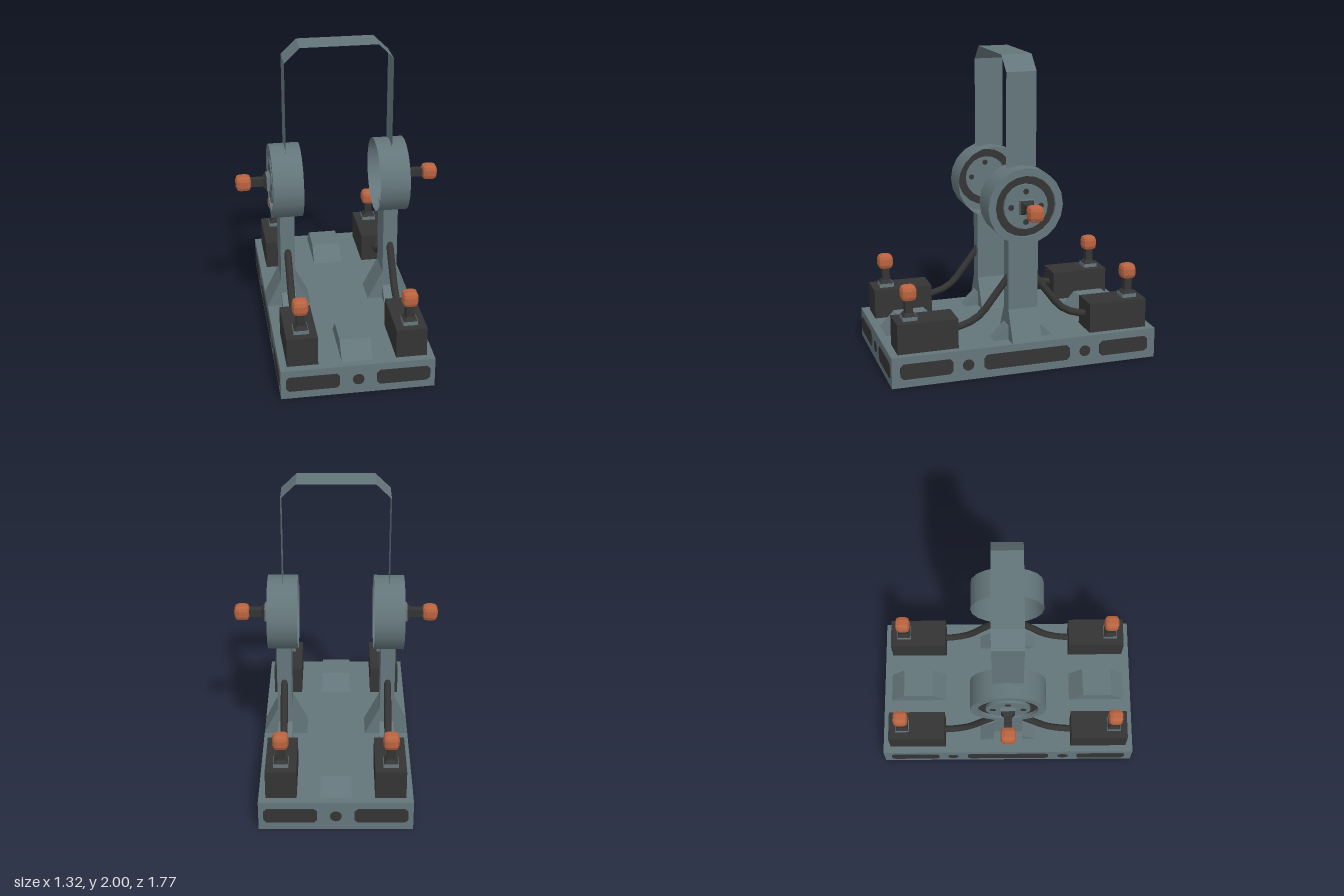
import * as THREE from 'three';
import { RoundedBoxGeometry } from 'three/addons/geometries/RoundedBoxGeometry.js';

const material = (name, color, side = THREE.FrontSide) => {
  const m = new THREE.MeshStandardMaterial({ color, side });
  m.name = name;
  return m;
};

export function createModel() {
  const steel = material('steel grey', 0x64767b, THREE.DoubleSide);
  const dark = material('charcoal', 0x343434, THREE.DoubleSide);
  const orange = material('copper orange', 0xb8633f);

  const add = (parent, name, geometry, mat, x = 0, y = 0, z = 0) => {
    const mesh = new THREE.Mesh(geometry, mat);
    mesh.name = name;
    mesh.position.set(x, y, z);
    parent.add(mesh);
    return mesh;
  };
  const box = (w, h, d) => new THREE.BoxGeometry(w, h, d);
  const flat = (geometry) => {
    const g = geometry.index ? geometry.toNonIndexed() : geometry;
    g.computeVertexNormals();
    return g;
  };
  // Extrudes an outline, centred on its depth
  const prism = (points, depth) => {
    const shape = new THREE.Shape(points.map(([x, y]) => new THREE.Vector2(x, y)));
    return new THREE.ExtrudeGeometry(shape, { depth, bevelEnabled: false }).translate(0, 0, -depth / 2);
  };
  // Same, with the outline drawn in z and y
  const sidePrism = (points, depth) => prism(points, depth).rotateY(-Math.PI / 2);

  const model = new THREE.Group();
  model.name = 'controlStand';

  // Base slab
  add(model, 'base', box(0.97, 0.2, 1.76), steel, 0, 0.1, 0);

  // Dark inset plates and round ports on the four faces of the base
  const panel = (w) => {
    const a = w / 2, h = 0.05, c = 0.02;
    return prism([[-a + c, -h], [a - c, -h], [a, -h + c], [a, h - c],
      [a - c, h], [-a + c, h], [-a, h - c], [-a, -h + c]], 0.006);
  };
  const port = () => new THREE.CylinderGeometry(0.037, 0.037, 0.006, 12).rotateX(Math.PI / 2);
  for (let i = 0; i < 4; i++) {
    const face = new THREE.Group();
    face.name = 'basePanels';
    face.rotation.y = i * Math.PI / 2;
    model.add(face);
    const long = i % 2 === 1;
    const z = (long ? 0.485 : 0.88) + 0.002;
    if (long) add(face, 'middlePanel', panel(0.57), dark, 0, 0.103, z);
    else add(face, 'port', port(), dark, 0, 0.1, z);
    for (const s of [-1, 1]) {
      add(face, 'endPanel', panel(0.337), dark, s * (long ? 0.658 : 0.285), 0.103, z);
      if (long) add(face, 'port', port(), dark, s * 0.39, 0.1, z);
    }
  }

  // Raised humps between the boxes
  for (const s of [-1, 1]) {
    add(model, 'hump', sidePrism([[-0.195, 0], [0.195, 0], [0.1, 0.1], [-0.1, 0.1]], 0.195),
      steel, 0, 0.2, s * 0.635);
  }

  // Lever standing along +y: pad, flared foot, stem and chamfered knob
  const lever = () => {
    const g = new THREE.Group();
    g.name = 'lever';
    add(g, 'leverPad', box(0.094, 0.026, 0.094), steel, 0, 0.013, 0);
    const foot = new THREE.CylinderGeometry(0.025 * Math.SQRT2, 0.044 * Math.SQRT2, 0.024, 4).rotateY(Math.PI / 4);
    add(g, 'leverFoot', flat(foot), dark, 0, 0.038, 0);
    add(g, 'leverStem', box(0.05, 0.1, 0.05), dark, 0, 0.09, 0);
    add(g, 'leverKnob', flat(new RoundedBoxGeometry(0.1, 0.1, 0.1, 1, 0.03)), orange, 0, 0.174, 0);
    return g;
  };

  // One side assembly, turned half a revolution for the other
  for (const angle of [0, Math.PI]) {
    const side = new THREE.Group();
    side.name = 'sideAssembly';
    side.rotation.y = angle;
    model.add(side);

    // Post with flared foot
    add(side, 'post', prism([[0.195, 0.2], [0.485, 0.2], [0.39, 0.4], [0.39, 0.86],
      [0.295, 0.86], [0.295, 0.4]], 0.195), steel);

    // Open drum with a dark ring and bolts on its outer face
    const drum = new THREE.Group();
    drum.name = 'drum';
    drum.position.set(0, 1.08, 0);
    side.add(drum);
    const tube = (r, w) => new THREE.CylinderGeometry(r, r, w, 20, 1, true).rotateZ(-Math.PI / 2);
    const ring = (r0, r1) => new THREE.RingGeometry(r0, r1, 20).rotateY(Math.PI / 2);
    add(drum, 'drumWall', tube(0.243, 0.195), steel, 0.3425);
    add(drum, 'drumRim', ring(0.195, 0.243), steel, 0.44);
    add(drum, 'grooveOuterWall', tube(0.195, 0.02), steel, 0.43);
    add(drum, 'grooveInnerWall', tube(0.143, 0.02), steel, 0.43);
    add(drum, 'grooveFloor', ring(0.143, 0.195), dark, 0.42);
    add(drum, 'drumHub', new THREE.CircleGeometry(0.143, 20).rotateY(Math.PI / 2), steel, 0.44);
    for (let i = 0; i < 4; i++) {
      const a = i * Math.PI / 2;
      add(drum, 'bolt', new THREE.CylinderGeometry(0.019, 0.019, 0.006, 8).rotateZ(Math.PI / 2),
        dark, 0.441, 0.097 * Math.cos(a), 0.097 * Math.sin(a));
    }
    const drumLever = lever();
    drumLever.rotation.z = -Math.PI / 2;
    drumLever.position.x = 0.438;
    drum.add(drumLever);

    for (const s of [-1, 1]) {
      // Gusset against the post
      add(side, 'gusset', sidePrism([[s * 0.09, 0.2], [s * 0.195, 0.2], [s * 0.0975, 0.295], [s * 0.09, 0.295]], 0.095),
        steel, 0.3425);
      // Control box and its lever
      add(side, 'controlBox', box(0.195, 0.194, 0.39), dark, 0.3425, 0.297, s * 0.635);
      const boxLever = lever();
      boxLever.position.set(0.3425, 0.392, s * 0.735);
      side.add(boxLever);
      // Hose from the box up to the post
      const path = new THREE.CatmullRomCurve3([[0.3, 0.46], [0.32, 0.36], [0.37, 0.27], [0.48, 0.18], [0.61, 0.08]]
        .map(([y, z]) => new THREE.Vector3(0.3425, y, s * z)));
      add(side, 'hose', new THREE.TubeGeometry(path, 8, 0.024, 8), dark);
    }
  }

  // Thin overhead band joining the drums
  const arch = [[-0.3425, 1.31], [-0.3425, 1.905], [-0.245, 2], [0.245, 2], [0.3425, 1.905], [0.3425, 1.31]];
  const corners = [];
  for (let i = 0; i < arch.length - 1; i++) {
    const [[ax, ay], [bx, by]] = [arch[i], arch[i + 1]];
    const d = 0.0975;
    corners.push(ax, ay, -d, ax, ay, d, bx, by, d, ax, ay, -d, bx, by, d, bx, by, -d);
  }
  const band = new THREE.BufferGeometry();
  band.setAttribute('position', new THREE.Float32BufferAttribute(corners, 3));
  band.computeVertexNormals();
  add(model, 'overheadBand', band, steel);

  return model;
}
